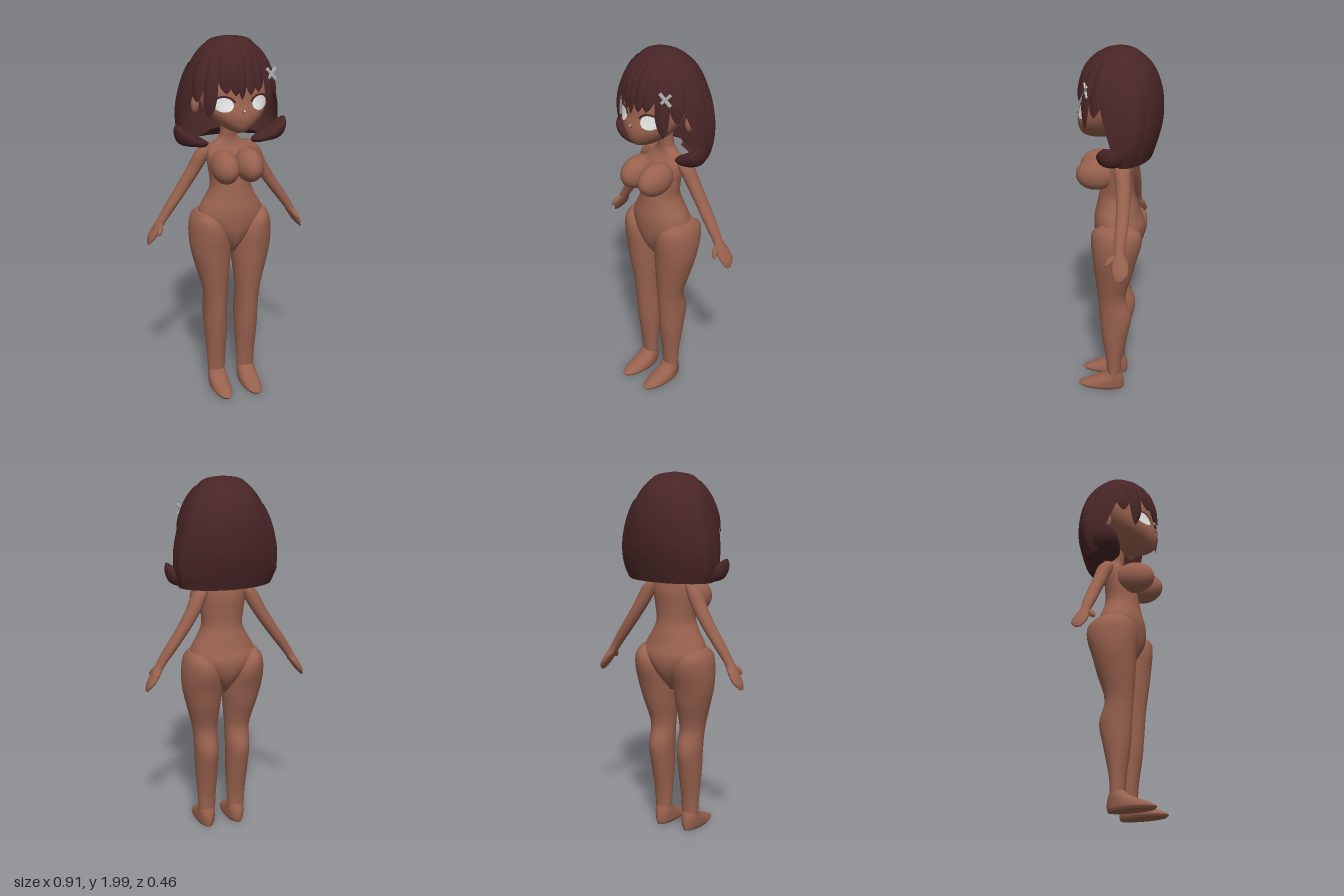
import * as THREE from 'three';

const material = (name, color, side = THREE.FrontSide) => {
  const m = new THREE.MeshStandardMaterial({ color, side });
  m.name = name;
  return m;
};

// Smoothly read a table of rows (ascending in y) at height y
function rowAt(rows, y) {
  const n = rows.length;
  if (y <= rows[0][0]) return rows[0];
  if (y >= rows[n - 1][0]) return rows[n - 1];
  let i = 0;
  while (rows[i + 1][0] < y) i++;
  const a = rows[i], b = rows[i + 1], h = b[0] - a[0], t = (y - a[0]) / h;
  const slope = (k, c) => {
    const p = rows[Math.max(k - 1, 0)], q = rows[Math.min(k + 1, n - 1)];
    return (q[c] - p[c]) / (q[0] - p[0]);
  };
  const t2 = t * t, t3 = t2 * t;
  return a.map((v, c) => c === 0 ? y
    : v * (2 * t3 - 3 * t2 + 1) + b[c] * (3 * t2 - 2 * t3)
      + h * (slope(i, c) * (t3 - 2 * t2 + t) + slope(i + 1, c) * (t3 - t2)));
}

// Grid surface from a point function; columns may wrap around
function grid(nu, nv, wrap, fn) {
  const pos = [], idx = [], cols = wrap ? nu : nu + 1;
  for (let j = 0; j <= nv; j++)
    for (let i = 0; i < cols; i++) pos.push(...fn(i / nu, j / nv));
  for (let j = 0; j < nv; j++)
    for (let i = 0; i < nu; i++) {
      const a = j * cols + i, b = j * cols + (i + 1) % cols;
      idx.push(a, b, b + cols, a, b + cols, a + cols);
    }
  const g = new THREE.BufferGeometry();
  g.setAttribute('position', new THREE.Float32BufferAttribute(pos, 3));
  g.setIndex(idx);
  g.computeVertexNormals();
  return g;
}

// Closed body from horizontal ellipses [y, centre x, centre z, radius x, radius z]
function loft(rows, steps = 5) {
  const last = rows.length - 1, nv = last * steps;
  return grid(36, nv + 2, true, (u, v) => {
    const k = Math.round(v * (nv + 2)) - 1, s = Math.min(Math.max(k, 0), nv) / steps;
    const i = Math.min(Math.floor(s), last - 1);
    const y = rows[i][0] + (rows[i + 1][0] - rows[i][0]) * (s - i);
    const [, cx, cz, rx, rz] = rowAt(rows, y);
    const r = k < 0 || k > nv ? 0.001 : 1, a = u * Math.PI * 2;
    return [cx + r * rx * Math.sin(a), y, cz + r * rz * Math.cos(a)];
  });
}

const TORSO = [
  [0.82, 0, 0.01, 0.02, 0.05], [0.88, 0, 0.005, 0.06, 0.1], [0.95, 0, 0, 0.13, 0.132],
  [1.02, 0, 0, 0.183, 0.138], [1.08, 0, 0.01, 0.172, 0.125], [1.14, 0, 0.012, 0.138, 0.11],
  [1.2, 0, 0.015, 0.114, 0.095], [1.28, 0, 0.008, 0.12, 0.085], [1.36, 0, -0.005, 0.128, 0.075],
  [1.41, 0, -0.02, 0.12, 0.052], [1.44, 0, -0.025, 0.07, 0.046], [1.47, 0, -0.022, 0.046, 0.042],
  [1.6, 0, -0.01, 0.044, 0.042],
];
const HEAD = [
  [1.515, 0, 0.12, 0.02, 0.04], [1.53, 0, 0.11, 0.055, 0.085], [1.57, 0, 0.1, 0.11, 0.117],
  [1.62, 0, 0.085, 0.155, 0.135], [1.68, 0, 0.06, 0.185, 0.142], [1.75, 0, 0.035, 0.195, 0.155],
  [1.85, 0, 0, 0.175, 0.155], [1.92, 0, 0, 0.12, 0.11], [1.95, 0, 0, 0.05, 0.05],
];
const LEG = [
  [0.06, 0.088, 0.022, 0.045, 0.036], [0.1, 0.088, 0.022, 0.048, 0.038], [0.2, 0.088, 0.022, 0.053, 0.046],
  [0.35, 0.09, 0.018, 0.063, 0.072], [0.48, 0.092, 0.012, 0.067, 0.089], [0.6, 0.095, 0.032, 0.07, 0.077],
  [0.75, 0.107, 0.02, 0.096, 0.104], [0.85, 0.115, 0.012, 0.111, 0.12], [0.95, 0.123, 0.002, 0.107, 0.138],
  [1.02, 0.14, 0, 0.077, 0.128], [1.06, 0.155, 0, 0.035, 0.08],
];
const FOOT = [
  [0.004, 0.088, 0.095, 0.045, 0.125], [0.02, 0.088, 0.097, 0.054, 0.132], [0.05, 0.088, 0.068, 0.054, 0.103],
  [0.08, 0.088, 0.035, 0.051, 0.064], [0.112, 0.088, 0.022, 0.046, 0.038],
];
const ARM = [
  [0.885, 0.448, -0.055, 0.006, 0.018], [0.92, 0.428, -0.06, 0.02, 0.041], [0.97, 0.398, -0.056, 0.025, 0.041],
  [1.01, 0.374, -0.05, 0.027, 0.028], [1.1, 0.313, -0.05, 0.035, 0.033], [1.2, 0.243, -0.05, 0.039, 0.036],
  [1.3, 0.18, -0.043, 0.042, 0.04], [1.38, 0.14, -0.032, 0.042, 0.043], [1.425, 0.11, -0.028, 0.025, 0.028],
];
const CURL = [
  [1.42, 0.16, 0.0, 0.03, 0.03], [1.44, 0.2, 0.01, 0.075, 0.06], [1.48, 0.245, 0.015, 0.062, 0.07],
  [1.52, 0.28, 0.02, 0.032, 0.055], [1.55, 0.3, 0.025, 0.008, 0.02],
];
// Hair outline: [y, half width, front z, back z]
const HAIR = [
  [1.42, 0.25, 0.14, -0.175], [1.5, 0.275, 0.17, -0.2], [1.6, 0.275, 0.2, -0.225], [1.7, 0.257, 0.212, -0.23],
  [1.8, 0.228, 0.2, -0.217], [1.9, 0.178, 0.165, -0.175], [1.96, 0.125, 0.115, -0.115], [1.985, 0.085, 0.07, -0.07],
  [1.998, 0.001, 0.001, -0.001],
];

function hairPoint(a, y, out = 0) {
  const [, rx, zf, zb] = rowAt(HAIR, y);
  const cz = -0.03 * Math.min(1, (2 - y) * 6), c = Math.cos(a);
  const rz = c > 0 ? zf - cz : cz - zb;
  return [(rx + out) * Math.sin(a), y, cz + (rz + out) * c];
}

// Tapered lock lying on the hair surface, angles in degrees from the front
function lock(a0, a1, y0, y1, width) {
  return grid(8, 16, false, (u, v) => {
    const t = 1 - v, w = width * Math.pow(Math.max(1 - t * t * t, 0), 0.8) * (0.55 + 0.45 * t);
    const a = THREE.MathUtils.degToRad(a0 + (a1 - a0) * t + (u - 0.5) * w);
    const bulge = 0.002 + 0.014 * Math.sin(u * Math.PI) * Math.sin(Math.PI * (0.1 + 0.85 * t));
    return hairPoint(a, y0 + (y1 - y0) * t, bulge);
  });
}

// Press a flat patch onto the face
function onFace(geometry, x, y, sx, sy, lift) {
  const p = geometry.attributes.position;
  for (let i = 0; i < p.count; i++) {
    const px = x + p.getX(i) * sx, py = y + p.getY(i) * sy;
    const [, , cz, rx, rz] = rowAt(HEAD, py);
    p.setXYZ(i, px, py, cz + rz * Math.sqrt(Math.max(0, 1 - (px / rx) ** 2)) + lift);
  }
  geometry.computeVertexNormals();
  return geometry;
}

export function createModel() {
  const skin = material('skin', 0x98614e);
  const hair = material('hair', 0x482526, THREE.DoubleSide);
  const white = material('eyeWhite', 0xe6e6e6, THREE.DoubleSide);
  const silver = material('clipSilver', 0xb9b9b9);
  const group = new THREE.Group();
  group.name = 'mannequin';
  const add = (name, geometry, mat) => {
    const m = new THREE.Mesh(geometry, mat);
    m.name = name;
    group.add(m);
    return m;
  };
  const ball = (name, mat, p, r, rot = [0, 0, 0]) => {
    const m = add(name, new THREE.SphereGeometry(1, 32, 24), mat);
    m.position.set(...p);
    m.scale.set(...r);
    m.rotation.set(...rot);
    return m;
  };

  add('torso', loft(TORSO), skin);
  add('head', loft(HEAD), skin);
  ball('nose', skin, [0, 1.64, 0.216], [0.008, 0.01, 0.012]);
  add('noseHighlight', onFace(new THREE.CircleGeometry(1, 12), 0, 1.643, 0.004, 0.006, 0.014), white);

  // Paired parts
  for (const s of [1, -1]) {
    const side = s > 0 ? 'left' : 'right';
    const mirror = rows => rows.map(([y, cx, cz, rx, rz]) => [y, s * cx, cz, rx, rz]);
    add(side + 'Leg', loft(mirror(LEG)), skin);
    add(side + 'Foot', loft(mirror(FOOT)), skin);
    add(side + 'Arm', loft(mirror(ARM)), skin);
    ball(side + 'Thumb', skin, [s * 0.395, 0.975, -0.003], [0.014, 0.038, 0.016], [-0.7, 0, s * 0.4]);
    ball(side + 'Chest', skin, [s * 0.068, 1.325, 0.115], [0.073, 0.088, 0.112], [0.15, 0, 0]);
    ball(side + 'Ear', skin, [s * 0.19, 1.645, -0.005], [0.022, 0.045, 0.03], [0, s * 0.4, 0]);
    add(side + 'Eye', onFace(new THREE.RingGeometry(0.01, 1, 28, 5), s * 0.097, 1.675, 0.047, 0.038, 0.004), white);
    add(side + 'Lash', onFace(new THREE.RingGeometry(0.93, 1.2, 24, 2, 0.25, 2.65),
      s * 0.097, 1.675, 0.05, 0.038, 0.007), hair);
    add(side + 'HairCurl', loft(mirror(CURL)), hair);
    // Fringe and side locks
    add(side + 'FringeInner', lock(s * 14, s * 9, 1.96, 1.72, 26), hair);
    add(side + 'FringeMiddle', lock(s * 30, s * 20, 1.96, 1.73, 30), hair);
    add(side + 'FringeOuter', lock(s * 44, s * 37, 1.95, 1.6, 27), hair);
    add(side + 'SideLock', lock(s * 64, s * 56, 1.94, 1.68, 32), hair);
    add(side + 'BackLock', lock(s * 115, s * 112, 1.85, 1.43, 45), hair);
  }
  add('fringeCentre', lock(0, -2, 1.97, 1.7, 18), hair);

  // Bob shell: short over the face, long round the back
  add('hairShell', grid(72, 36, true, (u, v) => {
    const a = u * Math.PI * 2, fromFront = Math.abs(a > Math.PI ? a - 2 * Math.PI : a);
    const low = 1.79 - 0.36 * THREE.MathUtils.smoothstep(fromFront, 1.0, 1.6);
    return hairPoint(a, 1.998 - (1.998 - low) * Math.pow(1 - v, 1.5));
  }), hair);
  // Underside closing the back of the bob
  add('hairUnderside', grid(32, 4, false, (u, v) => {
    const [x, , z] = hairPoint(1.6 + u * (2 * Math.PI - 3.2), 1.43);
    const k = 1 - 0.6 * v;
    return [x * k, 1.43 + 0.06 * v, -0.03 + (z + 0.03) * k];
  }), hair);

  // Crossed hair clip
  const clip = new THREE.Group();
  clip.name = 'hairClip';
  for (const s of [1, -1]) {
    const bar = new THREE.Mesh(new THREE.BoxGeometry(0.085, 0.015, 0.009), silver);
    bar.name = 'clipBar';
    bar.rotation.z = s * Math.PI / 4;
    clip.add(bar);
  }
  clip.position.set(0.175, 1.81, 0.15);
  clip.rotation.y = 0.35;
  group.add(clip);
  return group;
}
